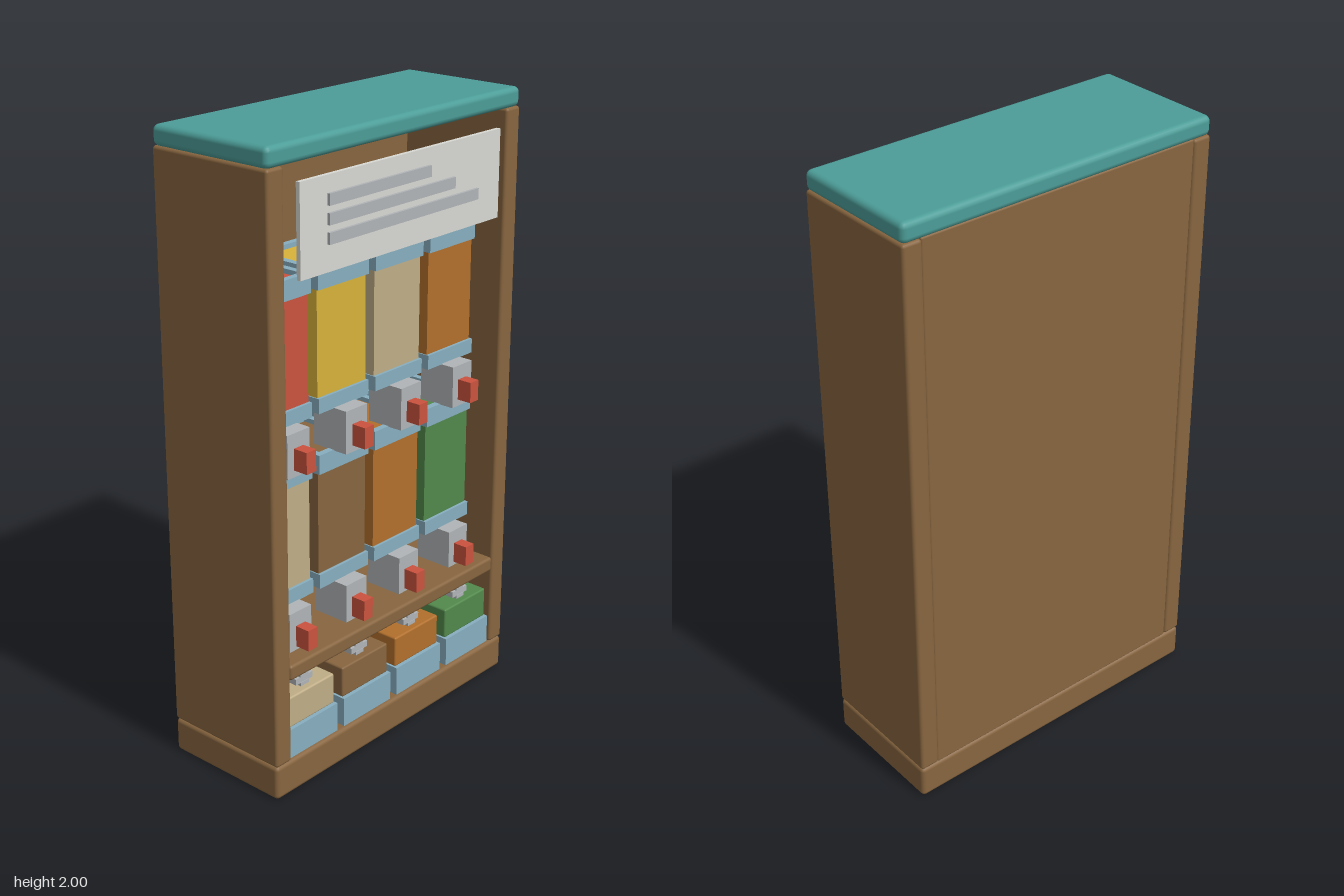
import * as THREE from 'three';
import { RoundedBoxGeometry } from 'three/addons/geometries/RoundedBoxGeometry.js';

const palette = {
  wood: 0x87653f, teal: 0x4c9d98, red: 0xcb523e, yellow: 0xd8b23a, oat: 0xbfad86,
  amber: 0xb2702c, green: 0x52894c, paleBlue: 0x87aebf, metal: 0xb0b4b6, signWhite: 0xd8d8d3,
};

export function createModel() {
  const model = new THREE.Group();
  model.name = 'bulkFoodDispenser';
  const mats = {};
  for (const [name, color] of Object.entries(palette)) {
    mats[name] = new THREE.MeshStandardMaterial({ color });
    mats[name].name = name;
  }

  // Box given by its limits on each axis; a radius rounds the edges
  function box(parent, name, mat, [x0, x1], [y0, y1], [z0, z1], radius = 0) {
    const size = [x1 - x0, y1 - y0, z1 - z0];
    const geo = radius ? new RoundedBoxGeometry(...size, 2, radius) : new THREE.BoxGeometry(...size);
    const mesh = new THREE.Mesh(geo, mats[mat]);
    mesh.name = name;
    mesh.position.set((x0 + x1) / 2, (y0 + y1) / 2, (z0 + z1) / 2);
    parent.add(mesh);
    return mesh;
  }
  const span = (half) => [-half, half];
  function group(name, x, y) {
    const g = new THREE.Group();
    g.name = name;
    g.position.set(x, y, 0);
    model.add(g);
    return g;
  }

  // Cabinet
  const depth = [-0.232, 0.21];
  box(model, 'plinth', 'wood', span(0.555), [0, 0.113], depth, 0.014);
  box(model, 'topBoard', 'teal', span(0.555), [1.938, 2], depth, 0.018);
  box(model, 'leftWall', 'wood', [0.49, 0.555], [0.113, 1.94], depth, 0.01);
  box(model, 'rightWall', 'wood', [-0.555, -0.49], [0.113, 1.94], depth, 0.01);
  box(model, 'backPanel', 'wood', span(0.492), [0.11, 1.942], [-0.228, -0.18], 0.006);
  box(model, 'shelf', 'wood', span(0.49), [0.385, 0.435], [-0.185, 0.21], 0.01);

  // Sign with raised plain bars
  box(model, 'signPanel', 'signWhite', [-0.443, 0.441], [1.615, 1.89], [0.208, 0.222]);
  [[0.105, 1.822], [0.218, 1.767], [0.33, 1.712]].forEach(([end, y]) =>
    box(model, 'signBar', 'metal', [-0.333, end], [y - 0.017, y + 0.017], [0.221, 0.231]));

  // Gravity bin: coloured filling, base tray, open rim, spout and lever
  function gravityBin(x, y, filling) {
    const bin = group('gravityBin', x, y);
    const back = -0.17, front = 0.1;
    box(bin, 'baseTray', 'paleBlue', span(0.111), [0.135, 0.182], [back, front]);
    box(bin, 'filling', filling, span(0.107), [0.182, 0.516], [back + 0.008, front - 0.01]);
    box(bin, 'fillingTop', filling, span(0.09), [0.51, 0.562], [back + 0.02, front - 0.02]);
    for (const s of [-1, 1]) {
      const edges = [s * 0.111, s * 0.089].sort((a, b) => a - b);
      box(bin, 'sideRim', 'paleBlue', edges, [0.515, 0.577], [back, front]);
    }
    box(bin, 'frontRim', 'paleBlue', span(0.09), [0.515, 0.577], [front - 0.022, front]);
    box(bin, 'backRim', 'paleBlue', span(0.09), [0.515, 0.577], [back, back + 0.022]);
    box(bin, 'spout', 'metal', span(0.047), [0, 0.137], [0.02, 0.15]);
    box(bin, 'lever', 'red', span(0.02), [0.022, 0.09], [0.149, 0.2]);
  }

  // Scoop bin: pale tray, coloured lid and metal handle
  function scoopBin(x, filling) {
    const bin = group('scoopBin', x, 0.113);
    box(bin, 'tray', 'paleBlue', span(0.111), [0, 0.097], [-0.16, 0.198]);
    box(bin, 'lid', filling, span(0.107), [0.097, 0.2], [-0.15, 0.188], 0.006);
    box(bin, 'handleFoot', 'metal', span(0.018), [0.199, 0.212], [0.13, 0.165]);
    box(bin, 'handleBar', 'metal', span(0.037), [0.21, 0.23], [0.132, 0.163]);
    box(bin, 'handleKnob', 'metal', span(0.018), [0.23, 0.254], [0.132, 0.163]);
  }

  const columns = [-0.382, -0.129, 0.124, 0.378];
  const topRow = ['red', 'yellow', 'oat', 'amber'];
  const lowRow = ['oat', 'wood', 'amber', 'green'];
  columns.forEach((x, i) => {
    gravityBin(x, 1.0, topRow[i]);
    gravityBin(x, 0.425, lowRow[i]);
    scoopBin(x, lowRow[i]);
  });
  return model;
}
